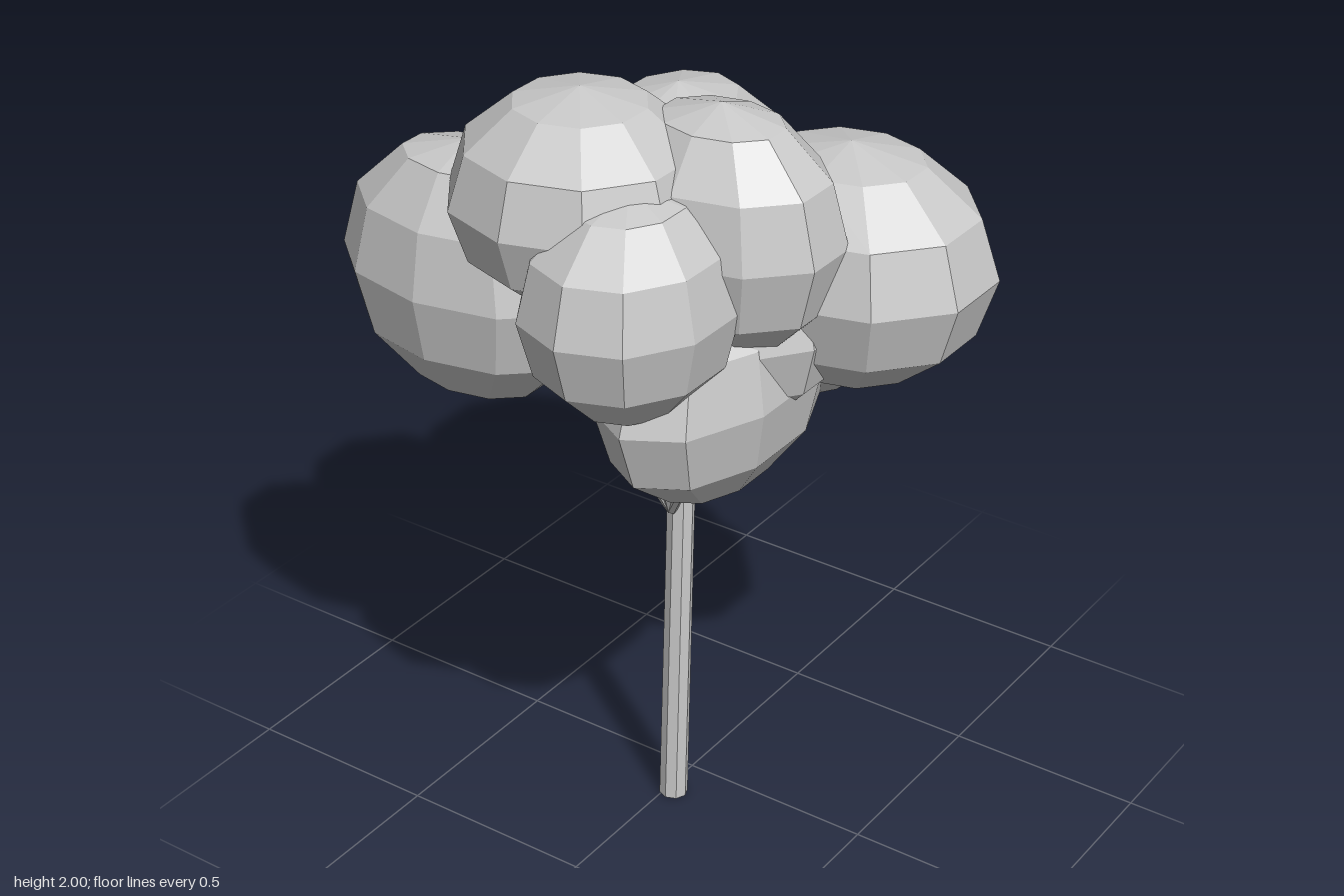
import * as THREE from 'three';

const grey = new THREE.MeshStandardMaterial({ color: 0xc8c8c8, flatShading: true });
grey.name = 'plain grey';

// Tapered limb between two points
function limb(name, a, b, r0, r1, sides) {
  const from = new THREE.Vector3(...a), to = new THREE.Vector3(...b);
  const dir = to.clone().sub(from);
  const mesh = new THREE.Mesh(new THREE.CylinderGeometry(r1, r0, dir.length(), sides), grey);
  mesh.name = name;
  mesh.position.copy(from).add(to).multiplyScalar(0.5);
  mesh.quaternion.setFromUnitVectors(new THREE.Vector3(0, 1, 0), dir.normalize());
  return mesh;
}

export function createModel() {
  const tree = new THREE.Group();
  tree.name = 'tree';

  // Slightly leaning trunk
  tree.add(limb('trunk', [0.022, 0, 0.115], [0.022, 1.4, 0.055], 0.036, 0.033, 8));

  // Thin branches fanning into the crown
  const fork = [0.02, 0.84, 0.115];
  const backFork = [0.02, 0.93, 0.05];
  const branches = [
    [fork, [-0.36, 1.36, 0.2]],
    [fork, [-0.3, 1.32, 0.02]],
    [fork, [-0.1, 1.4, 0.36]],
    [fork, [0.26, 1.22, 0.3]],
    [fork, [0.1, 1.25, 0.33]],
    [backFork, [0.22, 1.25, -0.06]],
    [backFork, [-0.1, 1.25, -0.1]],
  ];
  branches.forEach(([a, b], i) => tree.add(limb('branch' + (i + 1), a, b, 0.014, 0.011, 6)));

  // Crown clumps: centre x, y, z and radii x, y, z
  const clumps = [
    ['topClump', -0.055, 1.745, 0.345, 0.31, 0.255, 0.3],
    ['upperLeftClump', 0.212, 1.675, 0.195, 0.303, 0.3, 0.225],
    ['frontClump', 0.14, 1.575, 0.435, 0.24, 0.273, 0.28],
    ['leftClump', 0.37, 1.53, -0.085, 0.358, 0.29, 0.3],
    ['rightClump', -0.385, 1.44, 0.01, 0.342, 0.29, 0.285],
    ['frontRightClump', -0.37, 1.475, 0.345, 0.348, 0.32, 0.22],
    ['backClump', -0.3, 1.4, -0.375, 0.28, 0.295, 0.345],
    ['backLeftClump', 0.18, 1.39, -0.18, 0.3, 0.275, 0.325],
    ['lowerClump', 0.19, 1.3, 0.175, 0.215, 0.295, 0.38],
    ['coreClump', 0, 1.405, -0.02, 0.26, 0.362, 0.26],
    ['innerRightClump', -0.2, 1.55, 0.17, 0.2, 0.31, 0.21],
    ['innerLeftClump', 0.21, 1.43, 0.1, 0.25, 0.25, 0.24],
  ];
  const ball = new THREE.SphereGeometry(1, 10, 6).rotateY(Math.PI / 2);
  for (const [name, x, y, z, rx, ry, rz] of clumps) {
    const clump = new THREE.Mesh(ball, grey);
    clump.name = name;
    clump.position.set(x, y, z);
    clump.scale.set(rx, ry, rz);
    tree.add(clump);
  }
  return tree;
}
